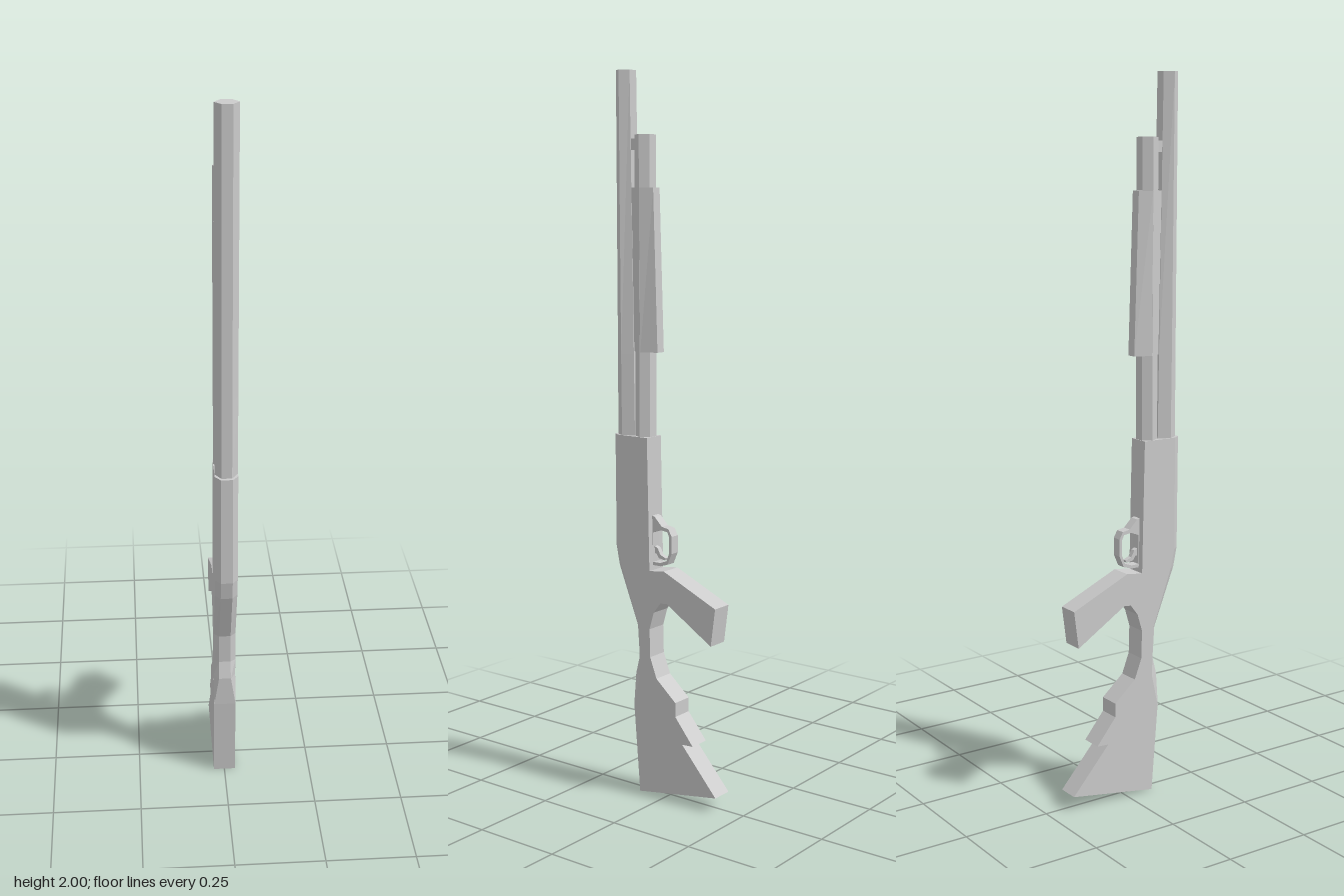
import * as THREE from 'three';

const grey = new THREE.MeshStandardMaterial({ color: 0xcccccc, flatShading: true });
const HALF = 0.031; // half thickness of the whole model
const FLAT = 0.014; // half width of the narrow flats

function part(name, geometry) {
  const mesh = new THREE.Mesh(geometry, grey);
  mesh.name = name;
  return mesh;
}

// Side outline given as [z, y] points, extruded across x
function sidePlate(points, half, hole) {
  const toVec = ([z, y]) => new THREE.Vector2(z, y);
  const shape = new THREE.Shape(points.map(toVec));
  if (hole) shape.holes.push(new THREE.Path(hole.map(toVec)));
  const geo = new THREE.ExtrudeGeometry(shape, { depth: half * 2, bevelEnabled: false });
  return geo.translate(0, 0, -half).rotateY(-Math.PI / 2);
}

// Closed skin through rings stacked from low y to high y; ring = { y, pts: [x, z] }
function loft(rings) {
  const pos = [];
  const put = (r, i) => pos.push(r.pts[i][0], r.y, r.pts[i][1]);
  const n = rings[0].pts.length;
  for (let k = 0; k < rings.length - 1; k++) {
    const a = rings[k], b = rings[k + 1];
    for (let i = 0; i < n; i++) {
      const j = (i + 1) % n;
      put(a, i); put(b, i); put(a, j);
      put(a, j); put(b, i); put(b, j);
    }
  }
  const low = rings[0], top = rings[rings.length - 1];
  for (let i = 1; i < n - 1; i++) {
    put(low, 0); put(low, i); put(low, i + 1);
    put(top, 0); put(top, i + 1); put(top, i);
  }
  const geo = new THREE.BufferGeometry();
  geo.setAttribute('position', new THREE.Float32BufferAttribute(pos, 3));
  geo.computeVertexNormals();
  return geo;
}

// Six-sided section between z0 and z1, widest at zm
const hex = (y, z0, zm, z1, w = HALF) => ({
  y,
  pts: [[w, zm], [FLAT, z1], [-FLAT, z1], [-w, zm], [-FLAT, z0], [FLAT, z0]],
});

// Section of the bevelled top ridge
const ridge = (y, zc, zf, wf) => ({
  y,
  pts: [[HALF, zc], [wf, zf], [-wf, zf], [-HALF, zc]],
});

export function createModel() {
  const group = new THREE.Group();
  group.name = 'pumpActionGun';

  // Receiver, grip and shoulder stock in one outline
  const body = [
    [0.16, 1.017], [0.16, 0.70], [0.148, 0.645], [0.088, 0.48], [0.085, 0.34],
    [0.105, 0.25], [0.085, 0.0], [-0.178, 0.042], [-0.064, 0.17], [-0.10, 0.172],
    [-0.04, 0.245], [-0.04, 0.285], [0.026, 0.342], [0.048, 0.40], [0.05, 0.48],
    [0.035, 0.53], [0.012, 0.56], [-0.01, 0.562], [-0.16, 0.468], [-0.174, 0.574],
    [0.0, 0.652], [0.05, 0.646], [0.058, 1.017],
  ];
  group.add(part('receiverAndStock', sidePlate(body, HALF)));

  // Bevelled ridge that runs out into the stock
  group.add(part('bevelledRidge', loft([
    ridge(0.25, 0.104, 0.106, 0.0305),
    ridge(0.34, 0.085, 0.109, 0.017),
    ridge(0.39, 0.086, 0.097, 0.016),
    ridge(0.48, 0.088, 0.103, 0.016),
    ridge(0.645, 0.148, 0.168, 0.016),
    ridge(0.70, 0.16, 0.179, 0.016),
    ridge(1.017, 0.16, 0.181, 0.016),
  ])));

  // Barrel, tapering toward the muzzle
  group.add(part('barrel', loft([
    hex(1.0, 0.113, 0.145, 0.172),
    hex(1.24, 0.116, 0.147, 0.172),
    hex(2.0, 0.127, 0.151, 0.174),
  ])));

  // Magazine tube, its clamp and the sliding fore-end
  group.add(part('magazineTube', loft([
    hex(1.0, 0.060, 0.083, 0.111),
    hex(1.83, 0.060, 0.083, 0.111),
  ])));
  const clamp = new THREE.BoxGeometry(0.026, 0.03, 0.03);
  group.add(part('barrelClamp', clamp.translate(0, 1.805, 0.119)));
  group.add(part('foreEnd', loft([
    hex(1.25, 0.034, 0.08, 0.114, 0.0312),
    hex(1.69, 0.048, 0.083, 0.122, 0.0312),
  ])));

  // Trigger guard loop with trigger inside
  const guard = [
    [0.056, 0.80], [0.045, 0.797], [0.02, 0.772], [-0.003, 0.768], [-0.014, 0.748],
    [-0.014, 0.70], [0.0, 0.668], [0.025, 0.66], [0.056, 0.66],
  ];
  const opening = [
    [0.05, 0.752], [0.024, 0.762], [0.001, 0.759], [-0.006, 0.745],
    [-0.006, 0.702], [0.004, 0.677], [0.026, 0.669], [0.05, 0.669],
  ];
  group.add(part('triggerGuard', sidePlate(guard, FLAT, opening)));
  const trigger = [
    [0.056, 0.715], [0.04, 0.708], [0.03, 0.69], [0.012, 0.683],
    [0.014, 0.677], [0.036, 0.68], [0.044, 0.692], [0.056, 0.694],
  ];
  group.add(part('trigger', sidePlate(trigger, 0.007)));

  return group;
}
